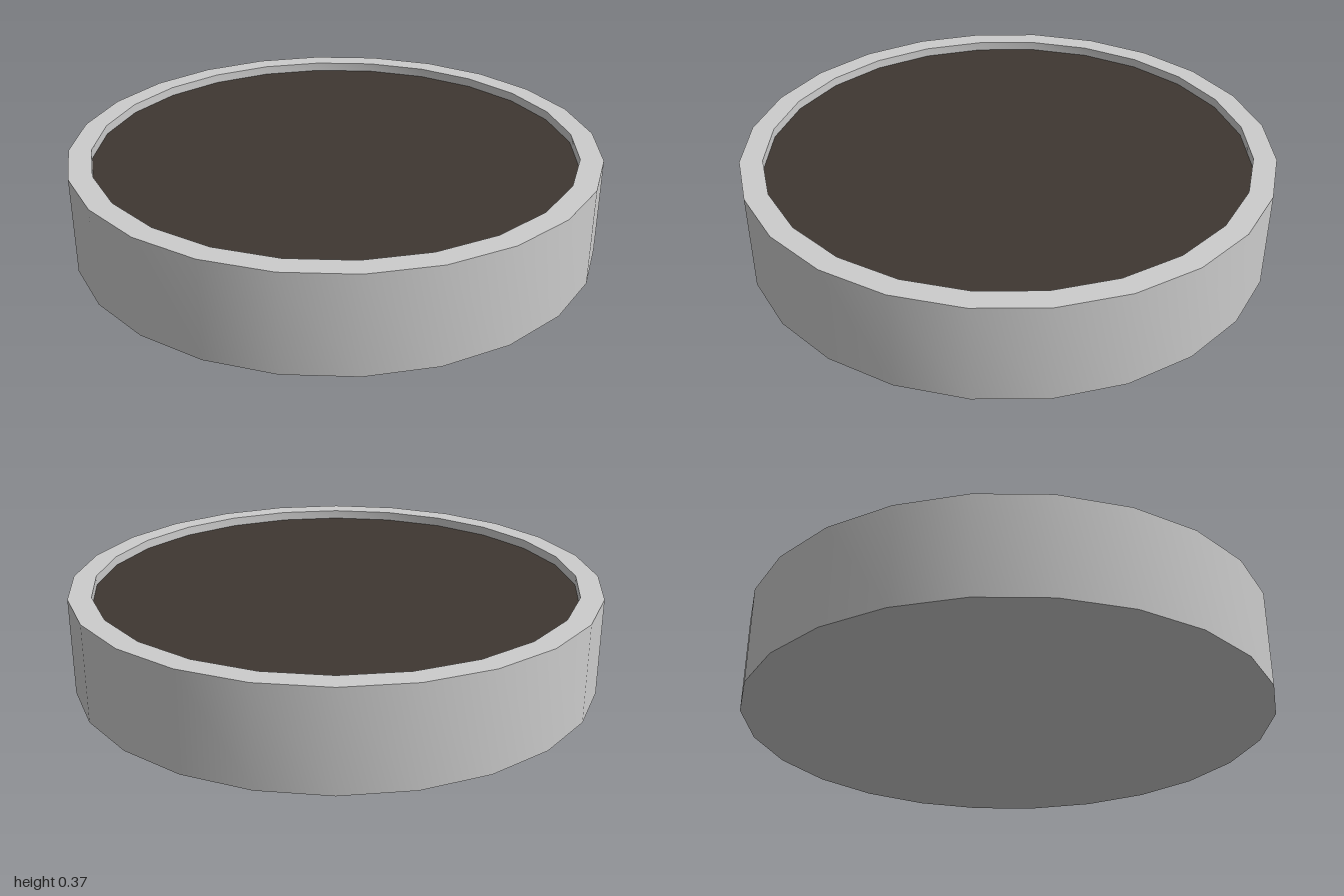
import * as THREE from 'three';
import { toCreasedNormals } from 'three/addons/utils/BufferGeometryUtils.js';

const SIDES = 24, HEIGHT = 0.37, OUTER = 1, INNER = 0.915, FILL_Y = 0.335;

export function createModel() {
  const group = new THREE.Group();
  const grey = new THREE.MeshStandardMaterial({ color: 0xcccccc });
  const dark = new THREE.MeshStandardMaterial({ color: 0x3e3732 });

  const add = (name, geometry, material) => {
    const mesh = new THREE.Mesh(geometry, material);
    mesh.name = name;
    group.add(mesh);
    return mesh;
  };

  // Outer wall, flat rim and short inner wall, smooth around and sharp at the edges
  const profile = [[OUTER, 0], [OUTER, HEIGHT], [INNER, HEIGHT], [INNER, FILL_Y]]
    .map(([r, y]) => new THREE.Vector2(r, y));
  add('wall', toCreasedNormals(new THREE.LatheGeometry(profile, SIDES), Math.PI / 6), grey);

  // Underside
  add('base', new THREE.CircleGeometry(OUTER, SIDES).rotateX(Math.PI / 2), grey);

  // Dark surface sunk just below the rim
  add('filling', new THREE.CircleGeometry(INNER, SIDES).rotateX(-Math.PI / 2), dark).position.y = FILL_Y;

  return group;
}
